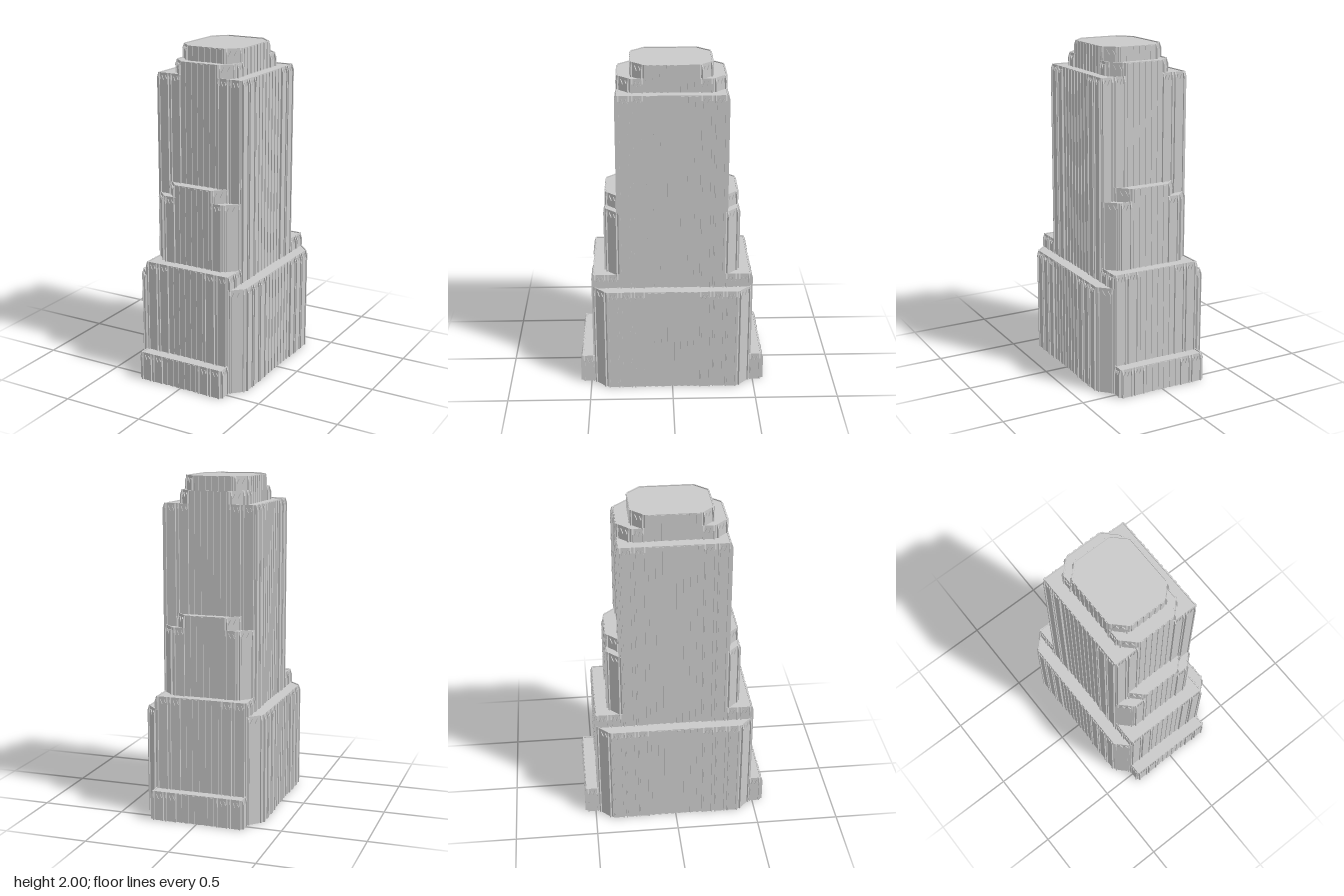
import * as THREE from 'three';
import { mergeGeometries } from 'three/addons/utils/BufferGeometryUtils.js';

const U = 0.079; // plan grid: one facade bay
const material = new THREE.MeshStandardMaterial({ color: 0xcccccc, flatShading: true, side: THREE.DoubleSide });

const shapeOf = (pts) => new THREE.Shape(pts.map(([x, y]) => new THREE.Vector2(x, y)));

// box given by its limits along the wall (t), up (y) and outwards (n)
function block(t0, t1, y0, y1, n0, n1) {
  return new THREE.BoxGeometry(t1 - t0, y1 - y0, n1 - n0)
    .translate((t0 + t1) / 2, (y0 + y1) / 2, (n0 + n1) / 2).toNonIndexed();
}

// slim pilaster whose head slopes back into the wall
function pilaster(t, y0, y1, width, depth) {
  const side = shapeOf([[0, y0], [depth, y0], [depth, y1 - 0.03], [0.002, y1], [0, y1]]);
  return new THREE.ExtrudeGeometry(side, { depth: width, bevelEnabled: false })
    .rotateY(-Math.PI / 2).translate(t + width / 2, 0, 0);
}

// raised panel with twin pointed heads
function pointedPanel(t0, t1, y0, y1) {
  const w = t1 - t0, low = y1 - 0.045, high = y1 - 0.015;
  const face = shapeOf([[t0, y0], [t1, y0], [t1, low], [t0 + w * 0.75, high],
    [t0 + w * 0.5, low], [t0 + w * 0.25, high], [t0, low]]);
  return new THREE.ExtrudeGeometry(face, { depth: 0.006, bevelEnabled: false });
}

// wall from a to b (grid units, outside on the right of travel seen from above reversed);
// bays: M = ribbed bay, H = bay with paired pilasters
function wall(a, b, y0, y1, bays) {
  const dx = (b[0] - a[0]) * U, dz = (b[1] - a[1]) * U;
  const length = Math.hypot(dx, dz), w = length / bays.length;
  const parts = [block(0, length, y0, y1, -0.006, 0)];
  [...bays].forEach((bay, i) => {
    const t = i * w;
    if (bay === 'M') {
      for (const f of [0.25, 0.75]) {
        parts.push(block(t + w * f - 0.0095, t + w * f + 0.0095, y0, y1 - 0.004, 0, 0.005));
      }
    } else {
      for (const f of [0.13, 0.87]) parts.push(pilaster(t + w * f, y0, y1, 0.008, 0.012));
      parts.push(pointedPanel(t + w * 0.2, t + w * 0.8, y0, y1));
    }
  });
  return mergeGeometries(parts).rotateY(Math.atan2(-dz, dx)).translate(a[0] * U, 0, a[1] * U);
}

// the two front chamfers of a tier, given the right-hand one
function chamfers([ax, az], [bx, bz], y0, y1) {
  return [wall([ax, az], [bx, bz], y0, y1, 'H'), wall([-bx, bz], [-ax, az], y0, y1, 'H')];
}

// centred front wall and centred side wall
const front = (hx, z, y0, y1, bays) => wall([-hx, z], [hx, z], y0, y1, bays);
const side = (x, hz, y0, y1, bays) => wall([x, hz], [x, -hz], y0, y1, bays);

// side returns next to the front face, both hands
const returns = (x, z0, z1, y0, y1, bays) => [
  wall([x, z1], [x, z0], y0, y1, bays), wall([-x, z0], [-x, z1], y0, y1, bays)];

// flat roof set just below the wall tops
function roof(y, pts) {
  return new THREE.ShapeGeometry(shapeOf(pts.map(([x, z]) => [x * U, -z * U])))
    .rotateX(-Math.PI / 2).translate(0, y - 0.006, 0);
}

export function createModel() {
  const model = new THREE.Group();

  // each part is made for one half and repeated by a half turn
  const add = (name, geometries) => {
    const group = new THREE.Group();
    group.name = name;
    const geometry = mergeGeometries(geometries.map((g) => (g.index ? g.toNonIndexed() : g)));
    for (const turn of [0, Math.PI]) {
      const mesh = new THREE.Mesh(geometry, material);
      mesh.name = name + (turn ? 'Back' : 'Front');
      mesh.rotation.y = turn;
      group.add(mesh);
    }
    model.add(group);
  };

  // low entrance block
  add('entranceBlock', [
    front(3.5, 7, 0, 0.175, 'HHMMMHH'),
    ...returns(3.5, 6, 7, 0, 0.175, 'H'),
    roof(0.175, [[-3.5, 7], [3.5, 7], [3.5, 6], [-3.5, 6]]),
  ]);

  // side wings with chamfered ends
  add('sideWing', [
    side(4.5, 5, 0, 0.65, 'HHHMMMMHHH'),
    ...chamfers([3.5, 6], [4.5, 5], 0, 0.65),
    roof(0.65, [[3.5, 6], [4.5, 5], [4.5, -5], [3.5, -6]]),
  ]);

  // podium
  add('podium', [
    front(3.5, 6, 0.17, 0.73, 'HHMMMHH'),
    ...returns(3.5, 4, 6, 0.64, 0.73, 'HH'),
    roof(0.73, [[-3.5, 6], [3.5, 6], [3.5, 4], [-3.5, 4]]),
  ]);

  // chamfered middle setback in two steps
  add('middleSetback', [
    wall([-2.5, 5], [-1.5, 5], 0.72, 1.13, 'H'),
    wall([1.5, 5], [2.5, 5], 0.72, 1.13, 'H'),
    front(1.5, 5, 0.72, 1.205, 'MMM'),
    ...chamfers([2.5, 5], [3.5, 4], 0.72, 1.13),
    ...chamfers([1.5, 5], [2.5, 4], 1.12, 1.205),
    roof(1.13, [[-3.5, 4], [-2.5, 5], [2.5, 5], [3.5, 4]]),
    roof(1.205, [[-2.5, 4], [-1.5, 5], [1.5, 5], [2.5, 4]]),
  ]);

  // main shaft
  add('mainShaft', [
    side(3.5, 4, 0.64, 1.845, 'HHMMMMHH'),
    wall([-3.5, 4], [-1.5, 4], 1.12, 1.845, 'HH'),
    wall([1.5, 4], [3.5, 4], 1.12, 1.845, 'HH'),
    front(1.5, 4, 1.12, 1.92, 'MMM'),
    roof(1.845, [[-3.5, 0], [-3.5, 4], [3.5, 4], [3.5, 0]]),
  ]);

  // lower crown step
  add('lowerCrown', [
    ...chamfers([1.5, 4], [2.5, 3], 1.835, 1.92),
    ...returns(2.5, 2, 3, 1.835, 1.92, 'H'),
    roof(1.92, [[-2.5, 0], [-2.5, 3], [-1.5, 4], [1.5, 4], [2.5, 3], [2.5, 0]]),
  ]);

  // upper crown step
  add('upperCrown', [
    front(1.5, 3, 1.91, 2, 'MMM'),
    side(2.5, 2, 1.835, 2, 'MMMM'),
    ...chamfers([1.5, 3], [2.5, 2], 1.91, 2),
    roof(2, [[-2.5, 0], [-2.5, 2], [-1.5, 3], [1.5, 3], [2.5, 2], [2.5, 0]]),
  ]);

  return model;
}
